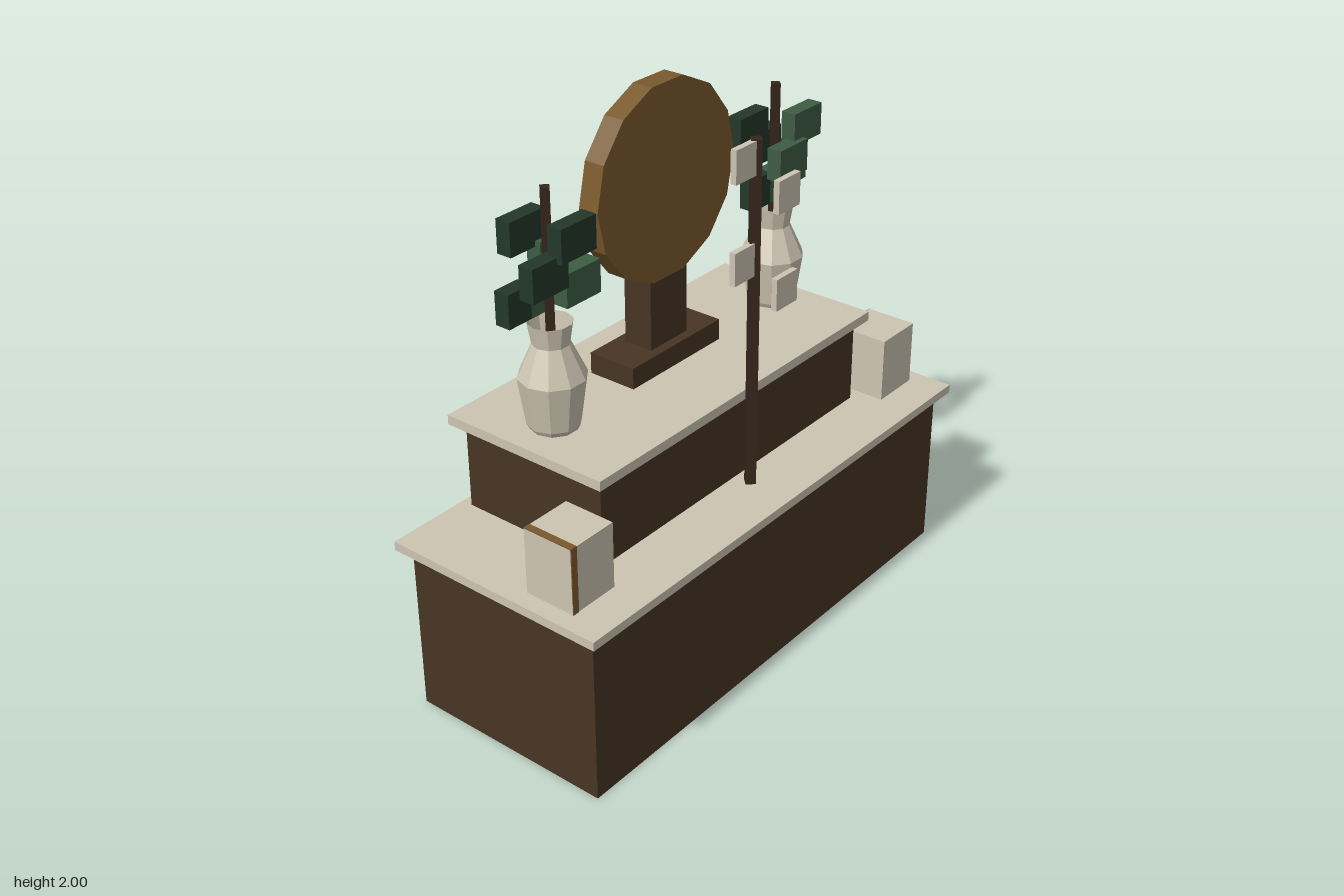
import * as THREE from 'three';

const material = (name, color) => {
  const m = new THREE.MeshStandardMaterial({ color });
  m.name = name;
  return m;
};

export function createModel() {
  const cream = material('cream', 0xcdc4b1);
  const brown = material('brown wood', 0x483524);
  const darkWood = material('dark wood', 0x35261b);
  const gold = material('gold', 0x79592c);
  const darkGreen = material('dark green', 0x23372a);
  const lightGreen = material('light green', 0x3d5c44);
  const ceramic = material('ceramic', 0xcdc4b1);
  ceramic.flatShading = true;
  ceramic.side = THREE.DoubleSide;

  const model = new THREE.Group();
  model.name = 'altar';

  const add = (name, geometry, mat, parent = model) => {
    const mesh = new THREE.Mesh(geometry, mat);
    mesh.name = name;
    parent.add(mesh);
    return mesh;
  };
  // Box given by its lowest and highest corners
  const box = (name, mat, [x0, y0, z0], [x1, y1, z1], parent) => {
    const g = new THREE.BoxGeometry(x1 - x0, y1 - y0, z1 - z0);
    g.translate((x0 + x1) / 2, (y0 + y1) / 2, (z0 + z1) / 2);
    return add(name, g, mat, parent);
  };
  // Upright rod with a diamond section
  const rod = (name, r, x, z, y0, y1, parent) => {
    const g = new THREE.CylinderGeometry(r, r, y1 - y0, 4).toNonIndexed();
    g.computeVertexNormals();
    g.translate(x, (y0 + y1) / 2, z);
    return add(name, g, darkWood, parent);
  };

  // Two stepped tiers with overhanging tops
  box('lowerTier', brown, [-0.96, 0, -0.385], [0.96, 0.62, 0.385]);
  box('lowerTop', cream, [-1, 0.62, -0.425], [1, 0.652, 0.425]);
  box('upperTier', brown, [-0.69, 0.652, -0.385], [0.69, 0.965, 0.19]);
  box('upperTop', cream, [-0.73, 0.965, -0.425], [0.73, 1, 0.225]);

  // Round mirror on its stand
  box('mirrorFoot', brown, [-0.23, 1, -0.25], [0.23, 1.077, -0.065]);
  box('mirrorPost', brown, [-0.095, 1.077, -0.212], [0.095, 1.33, -0.1]);
  const disc = new THREE.CylinderGeometry(0.346, 0.346, 0.077, 14).toNonIndexed();
  disc.computeVertexNormals();
  disc.rotateY(Math.PI / 2).rotateX(Math.PI / 2).translate(0, 1.658, -0.137);
  add('mirrorDisc', disc, gold);

  // Pole with paper squares hung on alternate sides
  rod('pole', 0.025, 0, 0.25, 0.652, 1.89);
  [1.83, 1.655, 1.487, 1.312].forEach((y, i) => {
    const x = i % 2 ? 0.168 : -0.058;
    box('paperSquare', cream, [x - 0.057, y - 0.057, 0.24], [x + 0.057, y + 0.057, 0.262]);
  });

  // Offering boxes with gold edge strips
  for (const s of [-1, 1]) {
    const x = s * 0.842;
    box('offeringBox', cream, [x - 0.095, 0.652, 0.098], [x + 0.095, 0.89, 0.288]);
  }
  box('frontStrip', gold, [-0.937, 0.652, 0.286], [-0.912, 0.891, 0.29]);
  box('topStrip', gold, [-0.937, 0.888, 0.098], [-0.912, 0.892, 0.288]);
  box('backStrip', gold, [0.912, 0.652, 0.096], [0.937, 0.89, 0.1]);

  // Vases: ten-sided turned profile
  const profile = [[0, 1.002], [0.08, 1.012], [0.09, 1.03], [0.114, 1.195], [0.062, 1.31], [0.074, 1.385]]
    .map(([r, y]) => new THREE.Vector2(r, y));
  // Leaf colour codes per plant: d dark, l light, s split
  const plants = [
    { x: -0.578, start: 15, level: 0, tones: 'lddsdl' },
    { x: 0.578, start: 45, level: 2, tones: 'llsddl' },
  ];
  for (const { x, start, level, tones } of plants) {
    const plant = new THREE.Group();
    plant.name = 'vaseWithBranch';
    plant.position.set(x, 0, -0.098);
    model.add(plant);
    add('vase', new THREE.LatheGeometry(profile, 10, Math.PI / 2), ceramic, plant);
    rod('stem', 0.021, 0, 0, 1.05, 1.83, plant);
    // Six leaf blocks around the stem at three heights
    for (let i = 0; i < 6; i++) {
      const a = THREE.MathUtils.degToRad(start + i * 60);
      const cx = 0.11 * Math.cos(a), cz = 0.08 * Math.sin(a);
      const y = 1.427 + 0.096 * ((level - i + 6) % 3);
      const leaf = (mat, x0, x1) =>
        box('leaf', mat, [cx + x0, y, cz - 0.028], [cx + x1, y + 0.115, cz + 0.028], plant);
      if (tones[i] === 's') {
        leaf(darkGreen, -0.078, 0.02);
        leaf(lightGreen, 0.02, 0.078);
      } else {
        leaf(tones[i] === 'd' ? darkGreen : lightGreen, -0.078, 0.078);
      }
    }
  }
  return model;
}
